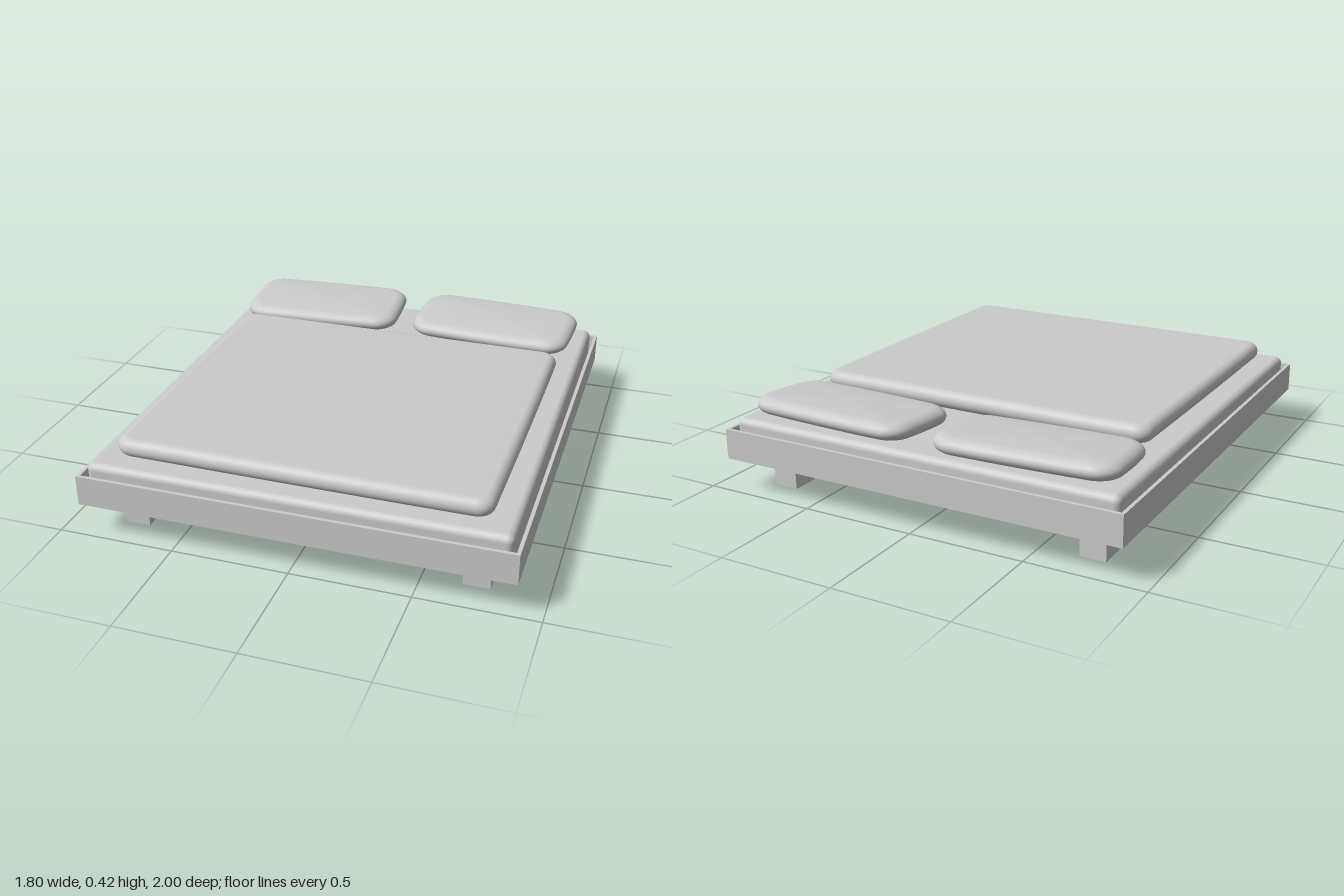
import * as THREE from 'three';
import { RoundedBoxGeometry } from 'three/addons/geometries/RoundedBoxGeometry.js';

const grey = new THREE.MeshStandardMaterial({ color: 0xcccccc });

function add(parent, name, geometry, x = 0, y = 0, z = 0) {
  const mesh = new THREE.Mesh(geometry, grey);
  mesh.name = name;
  mesh.position.set(x, y, z);
  parent.add(mesh);
  return mesh;
}

// Stuffed slab: rounded-rectangle rings, soft rim, slightly domed top and bottom
function cushion(w, h, d, corner, rim, dome = 0, bulge = 0) {
  const rings = [];
  for (const t of [0.02, 0.25, 0.5, 0.75, 0.92]) rings.push({ s: t, v: -Math.PI / 2 });
  for (let i = 0; i <= 16; i++) rings.push({ s: 1, v: (i / 16 - 0.5) * Math.PI });
  for (const t of [0.92, 0.75, 0.5, 0.25, 0.02]) rings.push({ s: t, v: Math.PI / 2 });
  const arc = 8, side = 8, pos = [], idx = [];
  const n = 4 * (arc + side);
  for (const { s, v } of rings) {
    const inset = rim * (1 - Math.cos(v));
    const a = w / 2 - inset, b = d / 2 - inset, r = Math.max(corner - inset * 0.7, 0.01);
    const y = Math.sin(v) * (h / 2 + dome * (1 - s * s));
    const outline = [];
    for (let q = 0; q < 4; q++) {
      const sx = q === 0 || q === 3 ? 1 : -1, sz = q < 2 ? 1 : -1;
      for (let i = 0; i <= arc; i++) {
        const t = (q + i / arc) * Math.PI / 2;
        outline.push([sx * (a - r) + r * Math.cos(t), sz * (b - r) + r * Math.sin(t)]);
      }
      // straight run to the next corner
      const from = outline[outline.length - 1];
      const to = [[-(a - r), b], [-a, -(b - r)], [a - r, -b], [a, b - r]][q];
      for (let i = 1; i < side; i++) {
        const t = i / side;
        outline.push([from[0] + (to[0] - from[0]) * t, from[1] + (to[1] - from[1]) * t]);
      }
    }
    for (const [x, z] of outline) {
      const bx = 1 - bulge * (z / b) ** 2 / w, bz = 1 - bulge * (x / a) ** 2 / d;
      pos.push(x * s * bx, y, z * s * bz);
    }
  }
  for (let j = 0; j < rings.length - 1; j++) {
    for (let i = 0; i < n; i++) {
      const p = j * n + i, q = j * n + (i + 1) % n;
      idx.push(p, p + n, q, q, p + n, q + n);
    }
  }
  // close the small centre holes
  const last = (rings.length - 1) * n;
  for (let i = 1; i < n - 1; i++) idx.push(0, i, i + 1, last, last + i + 1, last + i);
  const g = new THREE.BufferGeometry();
  g.setAttribute('position', new THREE.Float32BufferAttribute(pos, 3));
  g.setIndex(idx);
  g.computeVertexNormals();
  return g;
}

export function createModel() {
  const bed = new THREE.Group();
  bed.name = 'bed';

  // Tray-shaped frame: four thin rails around a base panel
  const frame = new THREE.Group();
  frame.name = 'frame';
  bed.add(frame);
  const rail = 0.015;
  for (const s of [-1, 1]) {
    add(frame, 'sideRail', new THREE.BoxGeometry(rail, 0.13, 2), s * (0.9 - rail / 2), 0.21, 0);
    add(frame, 'endRail', new THREE.BoxGeometry(1.8 - 2 * rail, 0.13, rail), 0, 0.21, s * (1 - rail / 2));
  }
  add(frame, 'basePanel', new THREE.BoxGeometry(1.8 - 2 * rail, 0.03, 2 - 2 * rail), 0, 0.16, 0);

  // Square legs
  for (const x of [-0.72, 0.72]) {
    for (const z of [-0.8, 0.8]) add(bed, 'leg', new THREE.BoxGeometry(0.11, 0.145, 0.12), x, 0.0725, z);
  }

  // Mattress sunk into the frame
  add(bed, 'mattress', new RoundedBoxGeometry(1.74, 0.145, 1.935, 5, 0.03), 0, 0.2475, 0);

  // Folded duvet, lying a touch askew
  const duvet = add(bed, 'duvet', cushion(1.56, 0.08, 1.39, 0.065, 0.04, 0.002, 0.006), 0, 0.364, 0.202);
  duvet.rotation.y = -0.007;

  // Two pillows turned outward, their backs slightly raised
  for (const [x, y, turn] of [[-0.448, 0.37, 0.055], [0.42, 0.374, -0.055]]) {
    const pillow = add(bed, 'pillow', cushion(0.775, 0.075, 0.41, 0.095, 0.055, 0.008, 0.018), x, y, -0.775);
    pillow.rotation.set(0.055, turn, 0);
  }
  return bed;
}
